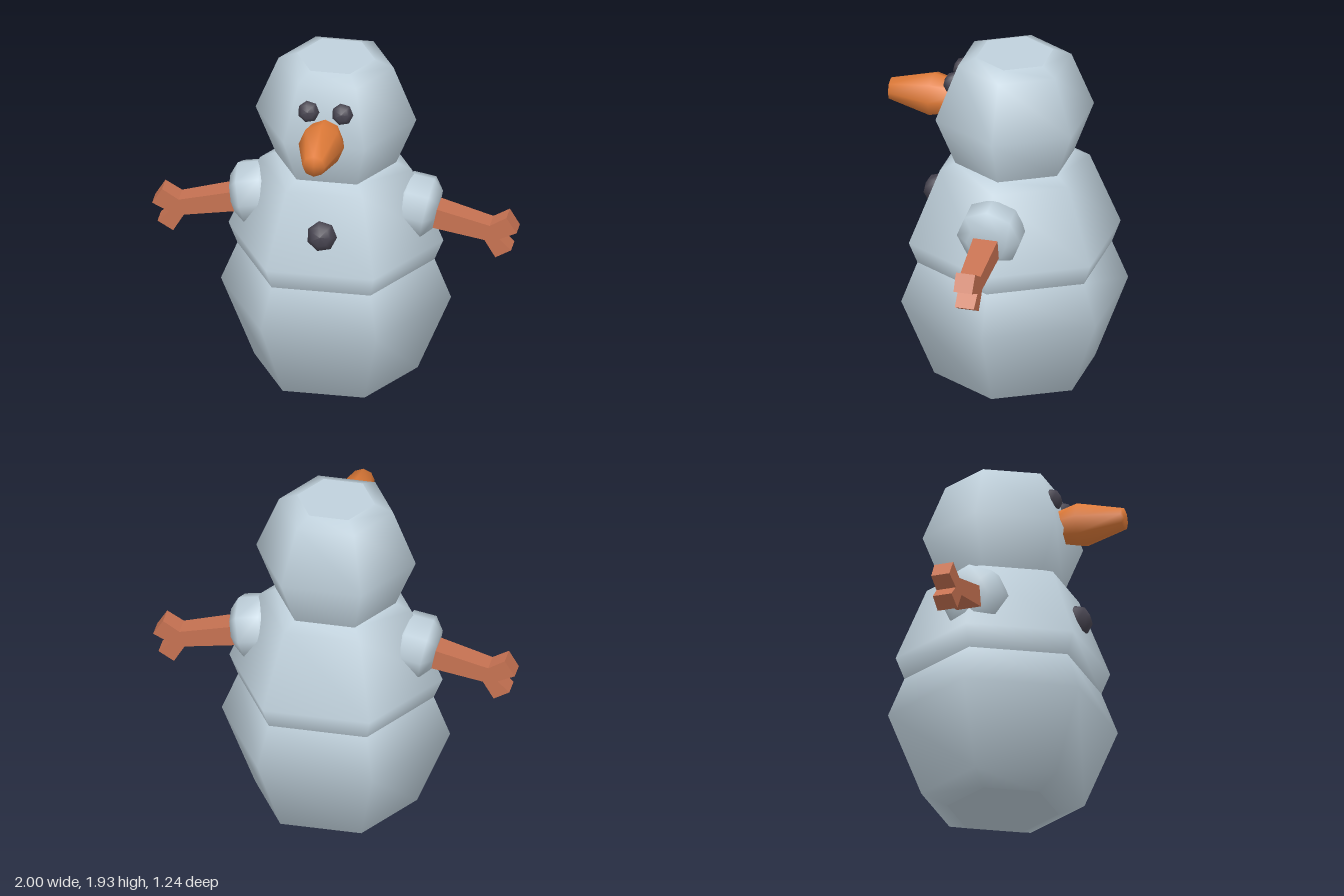
import * as THREE from 'three';

const CENTER_Z = -0.075;

const material = (name, color) => {
  const m = new THREE.MeshStandardMaterial({ color });
  m.name = name;
  return m;
};

// Smooth low-poly solid of revolution from [radius, height] pairs, bottom to top
function turned(name, profile, sides, mat, phi = Math.PI / 2) {
  const pts = profile.map(([r, y]) => new THREE.Vector2(r, y));
  const mesh = new THREE.Mesh(new THREE.LatheGeometry(pts, sides, phi), mat);
  mesh.name = name;
  return mesh;
}

// Flat hexagonal lid; dir = 1 faces up, -1 faces down
function hexCap(name, radius, y, dir, mat) {
  const mesh = new THREE.Mesh(new THREE.CircleGeometry(radius, 6), mat);
  mesh.name = name;
  mesh.rotation.x = -dir * Math.PI / 2;
  mesh.position.set(0, y, CENTER_Z);
  return mesh;
}

export function createModel() {
  const snow = material('snow', 0xc0d1dc);
  const coal = material('coal', 0x46434f);
  const carrot = material('carrot', 0xde7a38);
  const wood = material('wood', 0xc67252);

  const model = new THREE.Group();
  model.name = 'snowman';

  // Three stacked hexagonal snowballs
  const balls = {
    lowerBody: [[0.305, 0], [0.447, 0.06], [0.63, 0.51], [0.54, 0.735]],
    upperBody: [[0.54, 0.735], [0.588, 0.855], [0.417, 1.27], [0.33, 1.31]],
    head: [[0.33, 1.31], [0.44, 1.58], [0.315, 1.89], [0.215, 1.93]],
  };
  for (const [name, profile] of Object.entries(balls)) {
    const ball = turned(name, profile, 6, snow);
    ball.position.z = CENTER_Z;
    model.add(ball);
  }
  model.add(hexCap('headTop', 0.215, 1.93, 1, snow));
  model.add(hexCap('bodyBase', 0.305, 0, -1, snow));

  // Carrot nose
  const nose = turned('nose', [[0.08, 0.2], [0.125, 0.38], [0.062, 0.62], [0, 0.62]], 8, carrot);
  nose.rotation.x = Math.PI / 2;
  nose.position.y = 1.625;
  model.add(nose);

  // Coal lumps lying on the sloped front faces
  const lump = (name, r, x, y, z) => {
    const mesh = turned(name, [[r * 0.8, -0.03], [r, 0.008], [r * 0.62, r * 0.65], [0, r * 0.78]], 7, coal);
    mesh.rotation.x = Math.PI / 2 - 0.33;
    mesh.position.set(x, y, z);
    model.add(mesh);
  };
  lump('leftEye', 0.06, 0.093, 1.755, 0.246);
  lump('rightEye', 0.06, -0.093, 1.755, 0.246);
  lump('button', 0.084, 0, 1.06, 0.363);

  // Forked stick arm, slightly thinner towards the fingers
  const outline = [[0.5, 0.971], [0.823, 0.909], [0.882, 0.807], [0.968, 0.856], [0.904, 0.92],
    [0.998, 0.963], [0.943, 1.053], [0.852, 0.998], [0.5, 1.094]];
  const armShape = new THREE.Shape(outline.map(([x, y]) => new THREE.Vector2(x, y)));
  const armGeometry = new THREE.ExtrudeGeometry(armShape, { depth: 1, bevelEnabled: false });
  armGeometry.translate(0, 0, -0.5);
  const p = armGeometry.attributes.position;
  for (let i = 0; i < p.count; i++) {
    p.setZ(i, p.getZ(i) * (0.142 - 0.076 * (p.getX(i) - 0.5)));
  }
  armGeometry.computeVertexNormals();

  for (const [side, s] of [['left', 1], ['right', -1]]) {
    const arm = new THREE.Mesh(armGeometry, wood);
    arm.name = side + 'Arm';
    arm.position.z = CENTER_Z;
    arm.rotation.y = s > 0 ? 0 : Math.PI;
    model.add(arm);

    // Rounded shoulder tilted down along the arm
    const shoulder = turned(side + 'Shoulder',
      [[0.1, -0.225], [0.175, -0.18], [0.178, -0.055], [0.11, 0], [0, 0]], 8, snow);
    shoulder.rotation.z = -s * (Math.PI / 2 + 0.2);
    shoulder.position.set(s * 0.557, 1.04, CENTER_Z);
    model.add(shoulder);
  }
  return model;
}
